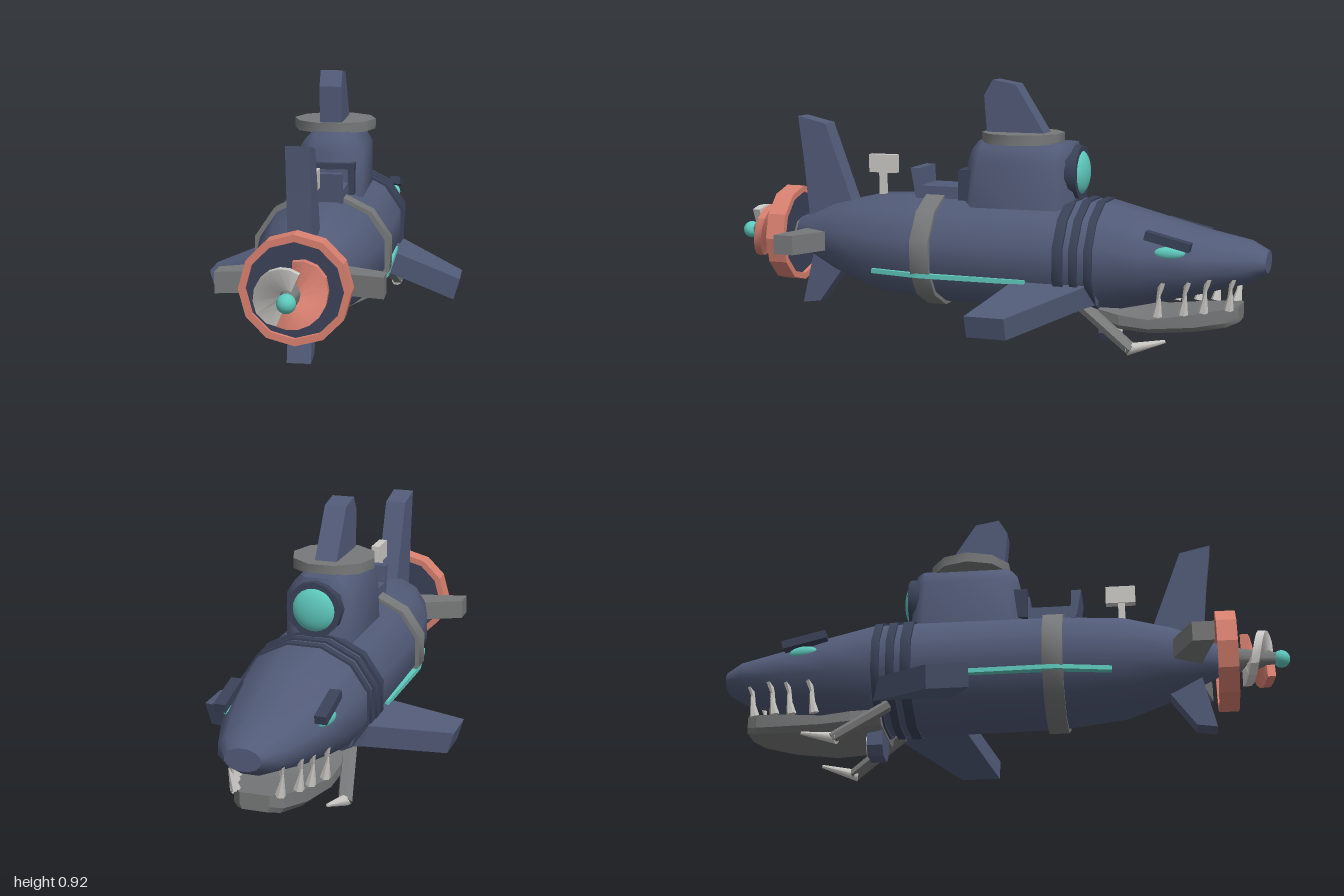
import * as THREE from 'three';
import { toCreasedNormals } from 'three/addons/utils/BufferGeometryUtils.js';

const mat = (name, color) => {
  const m = new THREE.MeshStandardMaterial({ color });
  m.name = name;
  return m;
};

// Skin a list of rings (counter-clockwise seen from the first end) and cap both ends
function loft(rings, crease) {
  const n = rings[0].length, pos = rings.flat(2), idx = [];
  for (let i = 0; i < rings.length - 1; i++) {
    for (let j = 0; j < n; j++) {
      const a = i * n + j, b = i * n + (j + 1) % n;
      idx.push(a, a + n, b, b, a + n, b + n);
    }
  }
  const last = (rings.length - 1) * n;
  for (let j = 1; j < n - 1; j++) {
    idx.push(0, j, j + 1, last, last + j + 1, last + j);
  }
  const g = new THREE.BufferGeometry();
  g.setAttribute('position', new THREE.Float32BufferAttribute(pos, 3));
  g.setIndex(idx);
  return toCreasedNormals(g, crease);
}

// Twelve-sided oval ring with flats at top, bottom and sides
function oval([z, rx, top, bottom], sides = 12) {
  const k = 1 / Math.cos(Math.PI / sides), cy = (top + bottom) / 2, ry = (top - bottom) / 2;
  return Array.from({ length: sides }, (_, j) => {
    const a = ((j + 0.5) / sides) * Math.PI * 2;
    return [Math.cos(a) * rx * k, cy + Math.sin(a) * ry * k, z];
  });
}

// Flat plate of given thickness from an outline, centred on its plane
function plate(points, thickness) {
  const shape = new THREE.Shape(points.map(([x, y]) => new THREE.Vector2(x, y)));
  const g = new THREE.ExtrudeGeometry(shape, { depth: thickness, bevelEnabled: false });
  return g.translate(0, 0, -thickness / 2);
}
const sidePlate = (zy, t) => plate(zy, t).rotateY(-Math.PI / 2);
const planPlate = (xz, t) => plate(xz, t).rotateX(Math.PI / 2);
// Faceted disc facing along z
const disc = (r, depth, sides) =>
  toCreasedNormals(new THREE.CylinderGeometry(r, r, depth, sides).rotateX(Math.PI / 2), 0.7);

export function createModel() {
  const group = new THREE.Group();
  const navy = mat('navy', 0x525b78), dark = mat('darkNavy', 0x3a4258), grey = mat('grey', 0x777879);
  const coral = mat('coral', 0xd88070), teal = mat('teal', 0x5fcabe), pale = mat('paleMetal', 0xcccac6);

  const add = (name, geo, material, x = 0, y = 0, z = 0) => {
    const m = new THREE.Mesh(geo, material);
    m.name = name;
    m.position.set(x, y, z);
    group.add(m);
    return m;
  };
  const box = (name, w, h, d, material, x, y, z) =>
    add(name, new THREE.BoxGeometry(w, h, d), material, x, y, z);
  // Tapered rod or spike from a to b
  const rod = (name, a, b, r0, r1, sides, material) => {
    const p = new THREE.Vector3(...a), q = new THREE.Vector3(...b), d = q.clone().sub(p);
    const g = toCreasedNormals(new THREE.CylinderGeometry(r1, r0, d.length(), sides), 0.9);
    const m = add(name, g, material, ...p.clone().add(q).multiplyScalar(0.5).toArray());
    m.quaternion.setFromUnitVectors(new THREE.Vector3(0, 1, 0), d.normalize());
    return m;
  };

  // Hull with the nose towards -z
  const stations = [
    [0.75, 0.055, 0.39, 0.275], [0.6, 0.135, 0.45, 0.205], [0.43, 0.19, 0.49, 0.145],
    [0.2, 0.22, 0.502, 0.12], [-0.3, 0.223, 0.505, 0.115], [-0.45, 0.22, 0.503, 0.125],
    [-0.6, 0.2, 0.465, 0.16], [-0.78, 0.16, 0.42, 0.205], [-0.94, 0.105, 0.39, 0.25],
    [-1, 0.06, 0.36, 0.285],
  ];
  add('hull', loft(stations.map((s) => oval(s)), 0.75), navy);

  // Strap and neck collars
  const band = (name, z0, z1, rx, ry, m) =>
    add(name, loft([z0, z1].map((z) => oval([z, rx, 0.31 + ry, 0.31 - ry])), 0.6), m);
  band('strap', 0.22, 0.15, 0.236, 0.203, grey);
  band('collarRear', -0.303, -0.338, 0.237, 0.202, dark);
  band('collarMiddle', -0.361, -0.389, 0.234, 0.201, dark);
  band('collarFront', -0.413, -0.441, 0.23, 0.2, dark);

  // Tower with rounded corners and sloped shoulders: y, half width, rear z, front z
  const tower = [[0.705, 0.065, 0.03, -0.315], [0.675, 0.092, 0.05, -0.318],
    [0.635, 0.118, 0.06, -0.322], [0.45, 0.118, 0.085, -0.332]];
  add('tower', loft(tower.map(([y, w, zr, zf]) => {
    const c = w * 0.4;
    return [[w, zr - c], [w, zf + c], [w - c, zf], [c - w, zf], [-w, zf + c], [-w, zr - c],
      [c - w, zr], [w - c, zr]].map(([x, z]) => [x, y, z]);
  }), 0.95), navy);
  add('towerDisc', toCreasedNormals(new THREE.CylinderGeometry(0.147, 0.147, 0.036, 10)
    .rotateY(Math.PI / 10), 0.8), grey, 0, 0.718, -0.122);
  add('sailFin', sidePlate([[0, 0.72], [0.012, 0.865], [-0.02, 0.92], [-0.105, 0.905],
    [-0.222, 0.72]], 0.078), navy);

  // Porthole
  add('portholeFrame', disc(0.097, 0.04, 12), dark, 0, 0.6, -0.322);
  add('porthole', new THREE.SphereGeometry(0.081, 20, 14), teal, 0, 0.6, -0.328).scale.z = 0.46;

  // Rear hatch, seat and handle
  box('hatchFrame', 0.19, 0.11, 0.06, dark, 0, 0.548, 0.06);
  box('hatchPanel', 0.146, 0.085, 0.008, navy, 0, 0.54, 0.092);
  box('deckSeat', 0.15, 0.045, 0.17, navy, 0, 0.515, 0.175);
  add('seatBack', sidePlate([[0.24, 0.5], [0.262, 0.5], [0.28, 0.6], [0.245, 0.6]], 0.15), navy);
  box('handlePost', 0.022, 0.11, 0.024, pale, 0, 0.525, 0.42);
  box('handleBlock', 0.03, 0.066, 0.106, pale, 0, 0.603, 0.417);

  // Tail fins
  add('tailFinTop', sidePlate([[0.745, 0.77], [0.635, 0.745], [0.53, 0.46], [0.6, 0.38],
    [0.7, 0.37], [0.725, 0.62]], 0.078), navy);
  add('tailFinBottom', sidePlate([[0.735, 0.07], [0.665, 0.08], [0.57, 0.21], [0.62, 0.28],
    [0.69, 0.26]], 0.078), navy);

  // Propeller guard ring with a closed back
  const guard = [[0.155, -0.035], [0.178, -0.035], [0.178, 0.035], [0.155, 0.035],
    [0.155, -0.035]].map(([r, y]) => new THREE.Vector2(r, y));
  add('guardRing', toCreasedNormals(new THREE.LatheGeometry(guard, 12)
    .rotateX(Math.PI / 2), 0.3), coral, 0, 0.328, 0.78);
  add('guardDisc', disc(0.157, 0.04, 12), dark, 0, 0.328, 0.78);

  // Shaft, hub and two helical blades
  rod('shaft', [0, 0.33, 0.72], [0, 0.33, 0.96], 0.06, 0.022, 10, grey);
  add('hub', new THREE.SphereGeometry(0.031, 14, 10), teal, 0, 0.328, 0.969);
  const blade = [];
  for (let i = 0; i <= 10; i++) {
    const t = i / 10, a = Math.PI / 2 - t * 3.55;
    const c = Math.cos(a), s = Math.sin(a), z = 0.845 + t * 0.085;
    const out = 0.1 + 0.038 * Math.sin(Math.min(1, t * 3) * Math.PI / 2) - 0.05 * t;
    blade.push([[0.03, -0.014], [0.03, 0.014], [out, 0.014], [out, -0.014]]
      .map(([r, dz]) => [r * c, r * s, z + dz]));
  }
  [coral, pale].forEach((m, i) => {
    add(i ? 'bladePale' : 'bladeCoral', loft(blade, 0.5), m, 0, 0.33, 0).rotation.z = i * Math.PI;
  });

  // Lower jaw
  const jaw = [[-0.42, 0.13, 0.15, 0.1], [-0.52, 0.158, 0.135, 0.082], [-0.62, 0.155, 0.125, 0.075],
    [-0.77, 0.125, 0.148, 0.085], [-0.87, 0.085, 0.165, 0.1], [-0.91, 0.05, 0.172, 0.115]];
  add('lowerJaw', loft(jaw.map(([z, w, t, b]) =>
    [[w * 0.85, b, z], [w, b + 0.018, z], [w, t, z], [-w, t, z], [-w, b + 0.018, z], [-w * 0.85, b, z]]),
  0.3), grey);

  // Chin lamp
  add('chinLamp', plate([[-0.035, 0.015], [0.035, 0.015], [0.062, 0.045], [0.062, 0.17],
    [-0.062, 0.17], [-0.062, 0.045]], 0.055), navy, 0, 0, -0.45);
  add('chinLampLens', disc(0.042, 0.008, 12), pale, 0, 0.065, -0.481);

  // Paired parts
  for (const s of [1, -1]) {
    const side = s > 0 ? 'left' : 'right';

    const fin = add(side + 'SideFin', planPlate([[0, -0.45], [0.035, -0.41], [0.292, -0.21],
      [0.292, -0.07], [0.035, -0.15], [0, -0.16]].map(([x, z]) => [x * s, z]), 0.08), navy,
    s * 0.172, 0.206, 0);
    fin.rotation.z = -s * 0.29;

    add(side + 'TailFin', planPlate([[0.05, 0.55], [0.13, 0.592], [0.27, 0.66], [0.27, 0.735],
      [0.12, 0.7], [0.05, 0.69]].map(([x, z]) => [x * s, z]), 0.07), grey, 0, 0.325, 0);

    // Glowing stripe that follows the hull
    const stripe = planPlate([[0.165, 0.385], [0.196, 0.385], [0.215, 0.28], [0.23, 0.2],
      [0.23, 0.14], [0.224, -0.2], [0.19, -0.2]].map(([x, z]) => [x * s, z]), 0.016);
    add(side + 'Stripe', stripe, teal, 0, 0.238, 0);

    const eye = add(side + 'Eye', new THREE.SphereGeometry(0.053, 16, 10), teal, s * 0.167, 0.361, -0.695);
    eye.scale.set(0.32, 0.42, 1);
    eye.rotation.y = s * 0.2;
    box(side + 'Brow', 0.04, 0.03, 0.158, dark, s * 0.17, 0.402, -0.69).rotation.x = -0.23;

    // Jaw strut with a forward spike
    const strut = rod(side + 'JawStrut', [s * 0.145, 0.155, -0.39], [s * 0.188, 0.025, -0.575],
      0.028, 0.026, 6, grey);
    strut.scale.set(1, 1, 0.75);
    rod(side + 'JawSpike', [s * 0.188, 0.025, -0.555], [s * 0.165, 0.058, -0.685], 0.021, 0.006, 8, pale);

    // Teeth standing along the jaw edge, with smaller ones pointing down
    [[-0.65, 0.145], [-0.735, 0.125], [-0.8, 0.108], [-0.88, 0.075]].forEach(([z, x], i) => {
      const y = 0.14 + i * 0.008;
      rod(side + 'LowerTooth' + (i + 1), [s * x, y, z], [s * (x + 0.015), y + 0.075, z - 0.012],
        0.018, 0.003, 6, pale);
      rod(side + 'UpperTooth' + (i + 1), [s * (x + 0.012), y + 0.12, z - 0.02],
        [s * (x + 0.006), y + 0.045, z], 0.014, 0.003, 6, pale);
    });
  }
  return group;
}
